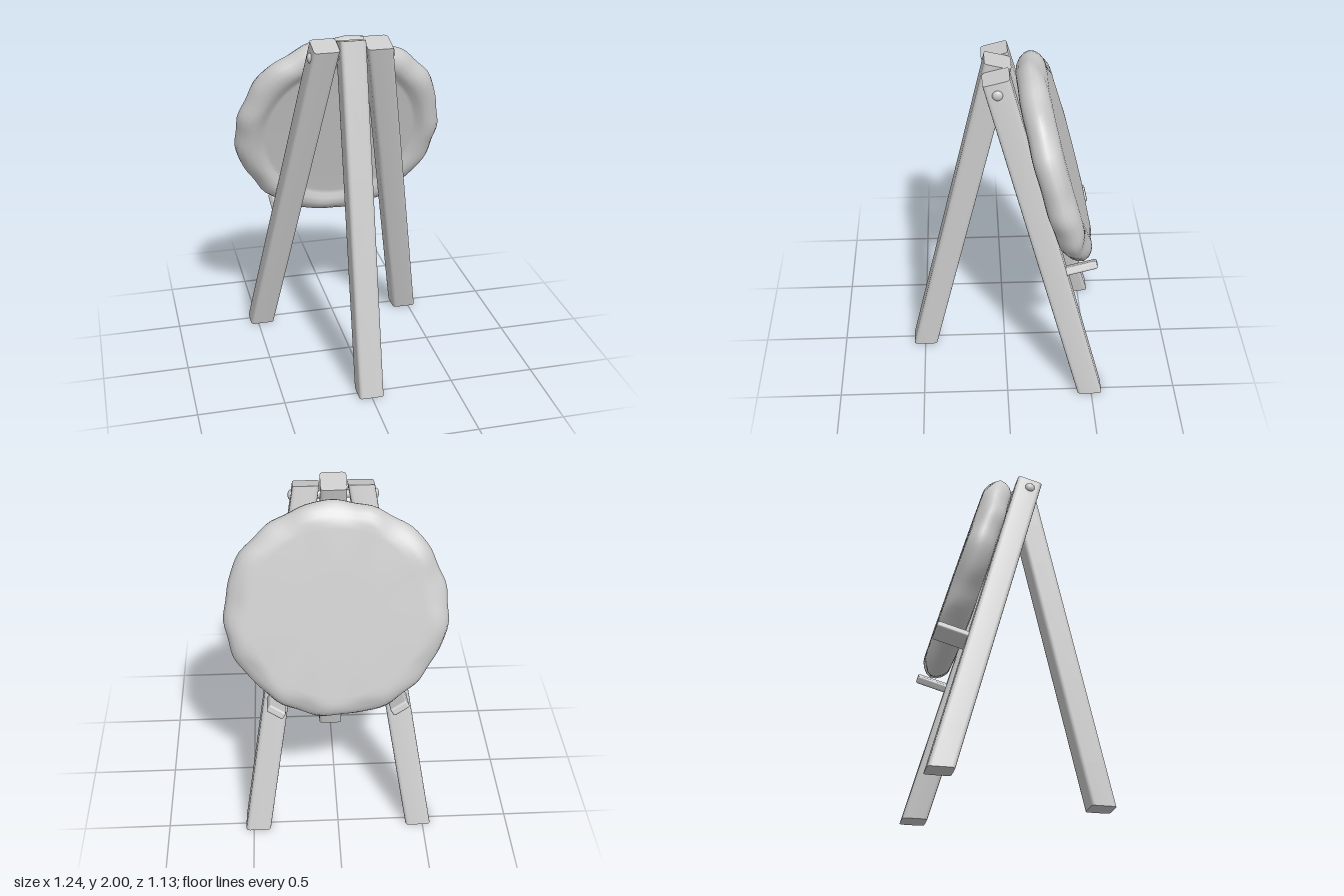
import * as THREE from 'three';
import { mergeVertices, toCreasedNormals } from 'three/addons/utils/BufferGeometryUtils.js';
import { RoundedBoxGeometry } from 'three/addons/geometries/RoundedBoxGeometry.js';

const material = new THREE.MeshStandardMaterial({ color: 0xcccccc });

function add(parent, name, geometry) {
  const mesh = new THREE.Mesh(geometry, material);
  mesh.name = name;
  parent.add(mesh);
  return mesh;
}

// Slanted square post with worn corners, flat on the ground and cut square at the top
function legGeometry(foot, head, topSlope) {
  const h = 0.0725, c = 0.022;
  const section = new THREE.Shape();
  section.moveTo(h, -h + c);
  for (const [sx, sy] of [[1, 1], [-1, 1], [-1, -1], [1, -1]]) {
    const a = [sx * h, sy * (h - c)], b = [sx * (h - c), sy * h];
    const [p, q] = sx * sy > 0 ? [a, b] : [b, a];
    section.lineTo(...p);
    section.quadraticCurveTo(sx * h, sy * h, ...q);
  }
  const g = new THREE.ExtrudeGeometry(section, { depth: 1, bevelEnabled: false, steps: 8, curveSegments: 3 });
  g.rotateX(-Math.PI / 2);
  const pos = g.attributes.position;
  for (let i = 0; i < pos.count; i++) {
    const x = pos.getX(i), t = pos.getY(i), z = pos.getZ(i);
    pos.setXYZ(i,
      x + THREE.MathUtils.lerp(foot[0], head[0], t),
      t * (head[1] + topSlope * z),
      z + THREE.MathUtils.lerp(foot[1], head[2], t));
  }
  return toCreasedNormals(g, 0.7);
}

// Padded round target: flat back, rolled lumpy rim, shallow recess in front
function padGeometry() {
  const profile = [
    [0, -0.05], [0.25, -0.05], [0.44, -0.05], [0.465, -0.055], [0.49, -0.075], [0.525, -0.082],
    [0.56, -0.075], [0.59, -0.052], [0.61, -0.02], [0.615, 0.012], [0.603, 0.042],
    [0.58, 0.064], [0.55, 0.078], [0.52, 0.082], [0.48, 0.083], [0.25, 0.083], [0, 0.083],
  ].map(([r, y]) => new THREE.Vector2(r, y));
  let g = new THREE.LatheGeometry(profile, 96);
  const pos = g.attributes.position;
  for (let i = 0; i < pos.count; i++) {
    const x = pos.getX(i), y = pos.getY(i), z = pos.getZ(i);
    const r = Math.hypot(x, z), a = Math.atan2(x, z);
    const rim = THREE.MathUtils.smoothstep(r, 0.47, 0.57);
    const back = THREE.MathUtils.smoothstep(y, 0.02, 0.07);
    const lumps = 0.005 * Math.sin(7 * a + 1) + 0.004 * Math.sin(13 * a) + 0.003 * Math.sin(19 * a + 2);
    const scallop = -0.014 * back * (0.5 + 0.5 * Math.cos(9 * a + 0.6 * Math.sin(2 * a)));
    const k = 1 + rim * (lumps + scallop) / Math.max(r, 0.1);
    pos.setXYZ(i, x * k, y + rim * (scallop * 0.8 + 0.003 * Math.sin(11 * a)), z * k);
  }
  g.deleteAttribute('uv');
  g.deleteAttribute('normal');
  g = mergeVertices(g, 1e-4);
  g.computeVertexNormals();
  return g;
}

export function createModel() {
  const model = new THREE.Group();
  model.name = 'targetOnTripod';

  // Tripod
  add(model, 'frontLeg', legGeometry([0, 0.497], [0, 1.982, 0.038], 0.25));
  for (const s of [1, -1]) {
    const side = s > 0 ? 'left' : 'right';
    add(model, side + 'BackLeg', legGeometry([s * 0.473, -0.49], [s * 0.15, 1.965, 0.053], -0.26));

    // Domed bolt head on the outside of the hinge
    const bolt = add(model, side + 'BoltHead', new THREE.SphereGeometry(0.029, 16, 12));
    bolt.position.set(s * 0.232, 1.9, 0.046);
    bolt.scale.x = 0.6;

    // Peg on the leg that carries the target
    const peg = add(model, side + 'SupportPeg', new RoundedBoxGeometry(0.105, 0.046, 0.24, 3, 0.012));
    peg.position.set(s * 0.345, 0.812, -0.4);
    peg.rotation.set(0.27, 0, s * 0.55);
  }
  const axle = add(model, 'hingeAxle', new THREE.CylinderGeometry(0.022, 0.022, 0.45, 16));
  axle.rotation.z = Math.PI / 2;
  axle.position.set(0, 1.9, 0.046);

  // Target leaning against the back legs
  const pad = add(model, 'targetPad', padGeometry());
  pad.position.set(0, 1.358, -0.287);
  pad.rotation.x = -(Math.PI / 2 - 0.273);

  return model;
}
